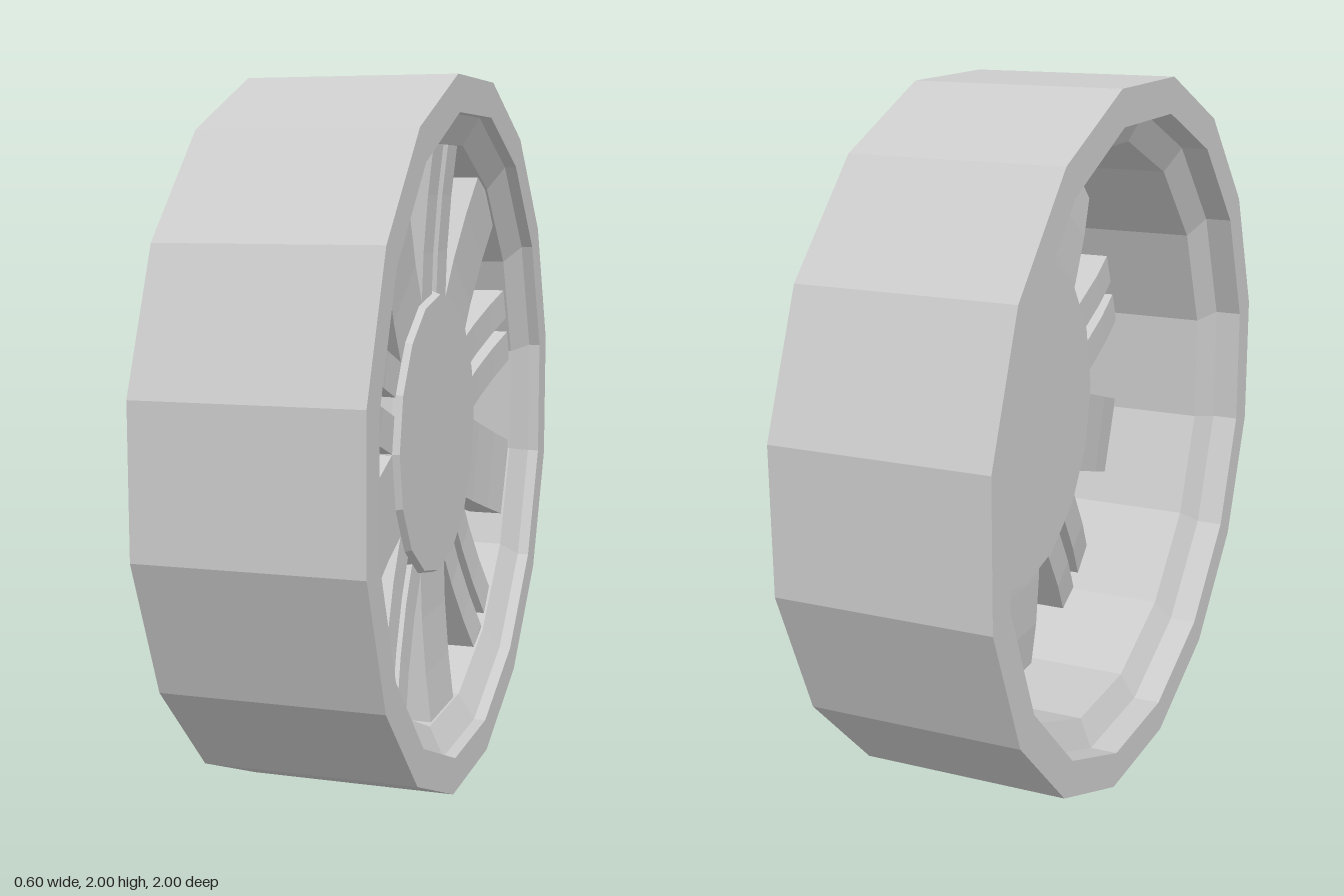
import * as THREE from 'three';

const SIDES = 16;
const material = new THREE.MeshStandardMaterial({ color: 0xcccccc, flatShading: true });

// Turned part around the wheel axle (x); profile points are [radius, x]
function turned(name, profile, phase) {
  const points = profile.map(([r, x]) => new THREE.Vector2(r, x));
  const geometry = new THREE.LatheGeometry(points, SIDES, phase).rotateZ(-Math.PI / 2);
  const mesh = new THREE.Mesh(geometry, material);
  mesh.name = name;
  return mesh;
}

// Upright bar with a gently bent side profile, its tip sunk into the rim; points are [x, radius]
function bar(name, width, z) {
  const profile = [
    [0.18, 0.36], [0.185, 0.52], [0.197, 0.68], [0.213, 0.82], [0.213, 0.85],
    [0.11, 0.85], [0.107, 0.82], [0.09, 0.68], [0.08, 0.52], [0.075, 0.36],
  ];
  const shape = new THREE.Shape(profile.map(([x, r]) => new THREE.Vector2(x, r)));
  const geometry = new THREE.ExtrudeGeometry(shape, { depth: width, bevelEnabled: false });
  geometry.translate(0, 0, z - width / 2);
  const mesh = new THREE.Mesh(geometry, material);
  mesh.name = name;
  return mesh;
}

export function createModel() {
  const wheel = new THREE.Group();
  wheel.name = 'wheel';

  // Tyre and rim: flat facets face up, so radii are given to the facet middles
  const k = 1 / Math.cos(Math.PI / SIDES);
  wheel.add(turned('tyreAndRim', [
    [1, -0.3], [1, 0.3], [0.9, 0.3], [0.9, 0.265], [0.82, 0.22],
    [0.82, -0.18], [0.9, -0.22], [0.9, -0.3], [1, -0.3],
  ].map(([r, x]) => [r * k, x]), Math.PI / SIDES));

  // Hub with a sloping shoulder and a thin bevelled cap
  wheel.add(turned('hub', [
    [0, 0.065], [0.5, 0.065], [0.41, 0.15], [0.41, 0.175], [0.4, 0.2], [0, 0.2],
  ], 0));

  // Five wide spokes alternating with five split spokes
  for (let i = 0; i < 5; i++) {
    const angle = (i * Math.PI * 2) / 5;
    const wide = bar('wideSpoke', 0.25, 0);
    wide.rotation.x = angle + Math.PI;
    const split = new THREE.Group();
    split.name = 'splitSpoke';
    for (const side of [-1, 1]) split.add(bar('thinBar', 0.1, side * 0.075));
    split.rotation.x = angle;
    wheel.add(wide, split);
  }

  wheel.position.y = 1;
  const model = new THREE.Group();
  model.name = 'model';
  model.add(wheel);
  return model;
}
